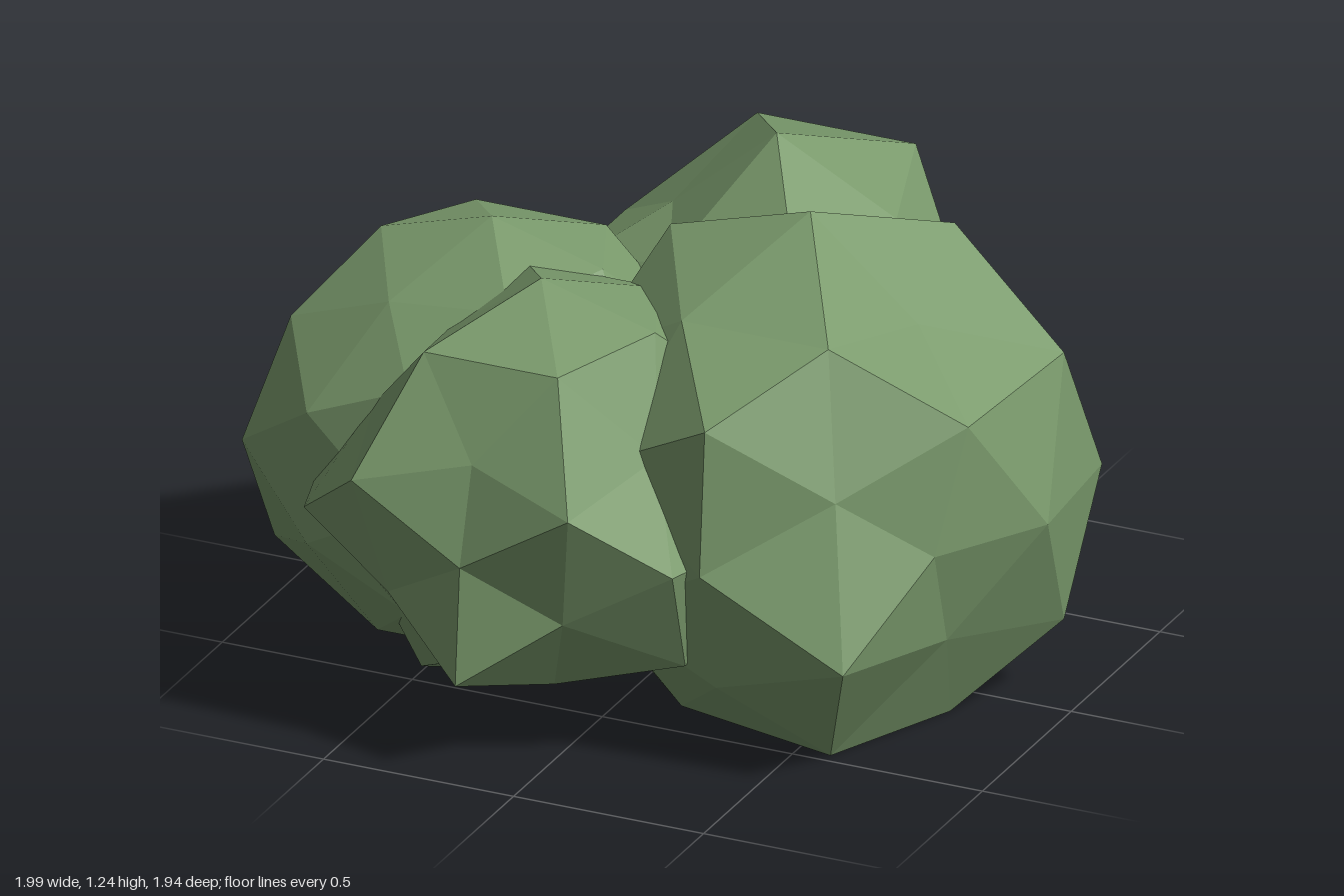
import * as THREE from 'three';

// A clump of leaves is a faceted ball flattened on the ground. Corners facing
// a bulge or dent direction are moved to that radius: [usual, bulge, dent].
function makeClump(name, material, center, [usual, bulge, dent], bulges, dents) {
  const geometry = new THREE.IcosahedronGeometry(1, 1);
  const position = geometry.attributes.position;
  const middle = new THREE.Vector3(...center);
  const v = new THREE.Vector3();
  const faces = (d) => new THREE.Vector3(...d).normalize().dot(v) > 0.98;
  for (let i = 0; i < position.count; i++) {
    v.fromBufferAttribute(position, i).normalize();
    const radius = bulges.some(faces) ? bulge : dents.some(faces) ? dent : usual;
    v.multiplyScalar(radius).add(middle);
    position.setXYZ(i, v.x, Math.max(v.y, 0), v.z);
  }
  geometry.computeVertexNormals();
  const mesh = new THREE.Mesh(geometry, material);
  mesh.name = name;
  return mesh;
}

export function createModel() {
  const bush = new THREE.Group();
  bush.name = 'bush';
  const leafGreen = new THREE.MeshStandardMaterial({ color: 0x7a9a6c, flatShading: true });
  leafGreen.name = 'leaf green';

  // Largest clump, on the left
  bush.add(makeClump('leftClump', leafGreen, [0.37, 0.54, 0.12], [0.625, 0.7, 0.54],
    [[0, 1, 0], [0, 5, 9], [-5, 9, 0], [3, 8, -5], [8, 5, -3], [8, -5, -3], [5, -3, 8], [9, 0, -5], [5, -9, 0], [3, -8, 5]],
    [[5, 9, 0], [5, 3, 8], [9, 0, 5], [8, -5, 3], [5, -3, -8]]));

  // Rounder clump on the right
  bush.add(makeClump('rightClump', leafGreen, [-0.44, 0.54, 0.18], [0.555, 0.6, 0.5],
    [[-9, 0, 5], [-9, 0, -5], [-8, -5, 3]],
    [[-5, -9, 0], [-3, 8, 5], [0, -1, 0]]));

  // Small clump leaning out at the front
  bush.add(makeClump('frontClump', leafGreen, [-0.17, 0.54, 0.48], [0.57, 0.6, 0.46],
    [[-5, -9, 0]],
    [[0, 0, 1], [0, 5, 9], [5, -3, 8], [-5, -3, 8], [-8, -5, 3], [-8, 5, 3], [8, 5, 3],
      [5, -9, 0], [-5, 9, 0], [0, -1, 0], [3, -8, 5], [-3, -8, 5]]));

  // Pointed clump at the back
  bush.add(makeClump('backClump', leafGreen, [0.085, 0.54, -0.3], [0.6, 0.675, 0.52],
    [[0, 1, 0], [0, 0, -1], [1, 0, 0], [-1, 0, 0], [-3, 8, -5], [3, 8, -5], [8, -5, -3], [3, -8, -5], [-5, -9, 0]],
    [[8, 5, -3], [5, 3, -8], [5, -3, -8], [-9, 0, -5], [0, -5, -9], [-5, 9, 0], [-3, 8, 5]]));

  return bush;
}
